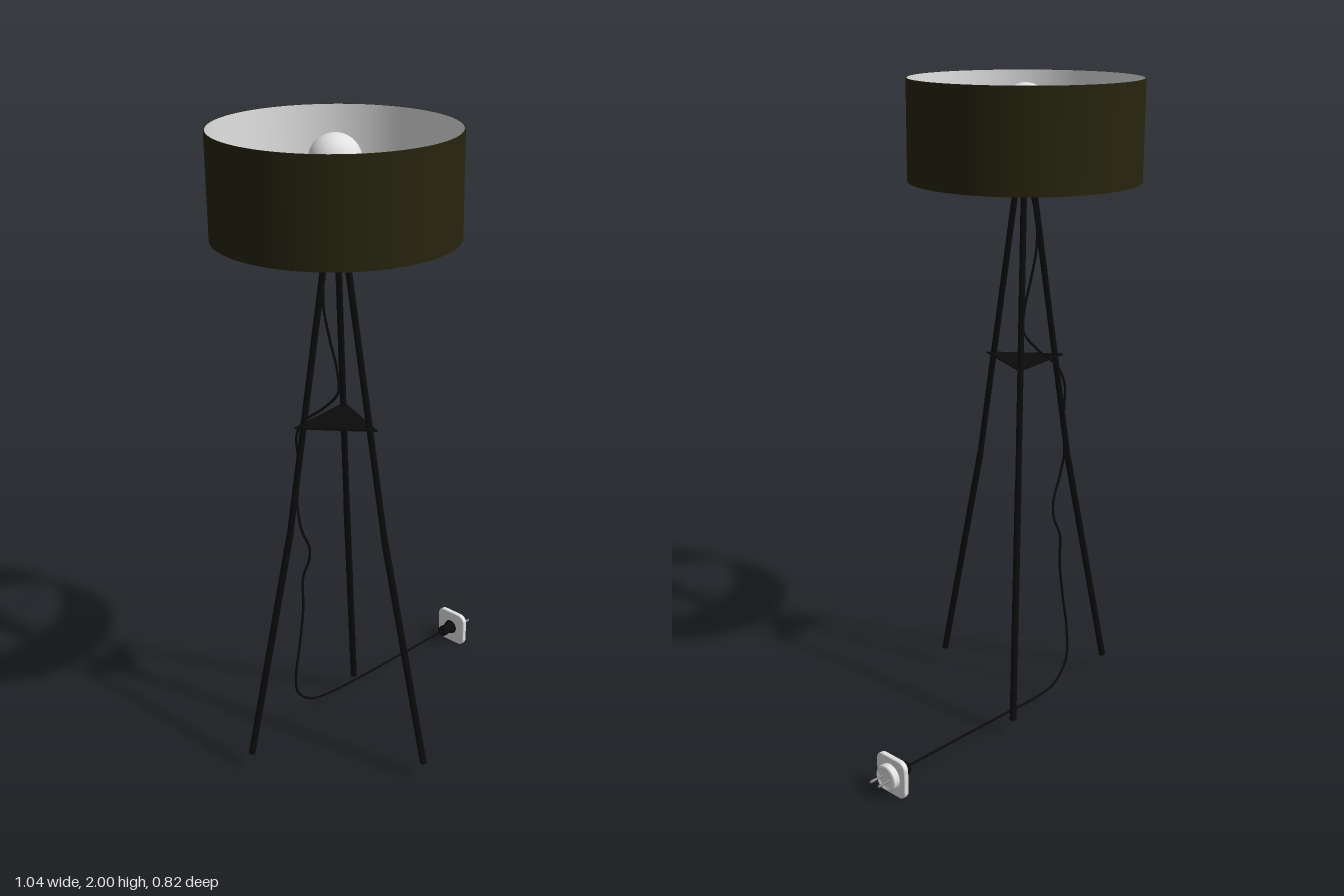
import * as THREE from 'three';

const paint = (name, color, side = THREE.FrontSide) => {
  const m = new THREE.MeshStandardMaterial({ color, side });
  m.name = name;
  return m;
};

export function createModel() {
  const black = paint('black metal', 0x0b0b0b);
  const olive = paint('dark olive fabric', 0x27240e);
  const white = paint('white', 0xe2e2e2);
  const steel = paint('steel grey', 0x85858a);

  const model = new THREE.Group();
  model.name = 'tripodLamp';
  const add = (parent, name, geometry, material) => {
    const mesh = new THREE.Mesh(geometry, material);
    mesh.name = name;
    parent.add(mesh);
    return mesh;
  };
  const V = (x, y, z) => new THREE.Vector3(x, y, z);

  // Straight round bar between two points
  const rod = (parent, name, a, b, r, material, sides = 16) => {
    const d = b.clone().sub(a);
    const mesh = add(parent, name, new THREE.CylinderGeometry(r, r, d.length(), sides), material);
    mesh.position.copy(a).add(b).multiplyScalar(0.5);
    mesh.quaternion.setFromUnitVectors(V(0, 1, 0), d.normalize());
    return mesh;
  };

  // Everything but the cord and plug shares this vertical axis
  const lamp = new THREE.Group();
  lamp.name = 'lamp';
  lamp.position.set(-0.167, 0, 0.055);
  model.add(lamp);

  // Drum shade: thin shell, olive outside and white inside
  const P = (x, y) => new THREE.Vector2(x, y);
  add(lamp, 'shadeOuter', new THREE.LatheGeometry([P(0.352, 1.7), P(0.352, 2)], 96), olive);
  add(lamp, 'shadeInner', new THREE.LatheGeometry([P(0.349, 2), P(0.349, 1.7)], 96), white);
  for (const [y, flip] of [[2, -1], [1.7, 1]]) {
    const rim = add(lamp, 'shadeRim', new THREE.RingGeometry(0.349, 0.352, 96), olive);
    rim.position.y = y;
    rim.rotation.x = flip * Math.PI / 2;
  }

  // Globe bulb and its socket
  const bulb = add(lamp, 'bulb', new THREE.SphereGeometry(0.075, 40, 28), white);
  bulb.position.y = 1.91;
  add(lamp, 'bulbNeck', new THREE.LatheGeometry(
    [P(0.024, 1.8), P(0.026, 1.82), P(0.04, 1.848), P(0.058, 1.864)], 32), white);
  add(lamp, 'socket', new THREE.LatheGeometry([
    P(0, 1.67), P(0.024, 1.67), P(0.028, 1.685), P(0.04, 1.688), P(0.04, 1.71),
    P(0.027, 1.714), P(0.027, 1.775), P(0.033, 1.778), P(0.033, 1.79),
    P(0.027, 1.793), P(0.027, 1.82), P(0, 1.82)], 32), black);

  // Three bent legs, with a shade spoke above each
  for (const angle of [Math.PI, Math.PI / 3, -Math.PI / 3]) {
    const at = (r, y) => V(r * Math.cos(angle), y, r * Math.sin(angle));
    const leg = new THREE.Group();
    leg.name = 'leg';
    lamp.add(leg);
    rod(leg, 'lowerLeg', at(0.314, 0.056), at(0.164, 0.8), 0.0105, black);
    rod(leg, 'upperLeg', at(0.164, 0.8), at(0.028, 1.695), 0.0095, black);
    add(leg, 'legJoint', new THREE.SphereGeometry(0.0105, 16, 10), black).position.copy(at(0.164, 0.8));
    rod(lamp, 'shadeSpoke', at(0.03, 1.78), at(0.35, 1.704), 0.0025, steel, 8);
  }

  // Triangular brace plate with its corners on the legs
  const triangle = new THREE.Shape([Math.PI, -Math.PI / 3, Math.PI / 3].map(
    (a) => P(0.14 * Math.cos(a), 0.14 * Math.sin(a))));
  const brace = add(lamp, 'bracePlate',
    new THREE.ExtrudeGeometry(triangle, { depth: 0.005, bevelEnabled: false }), black);
  brace.rotation.x = -Math.PI / 2;
  brace.position.y = 1.142;

  // Wavy power cord
  const path = new THREE.CatmullRomCurve3([
    [-0.175, 1.69, 0.05], [-0.2, 1.6, 0.045], [-0.205, 1.5, 0.045], [-0.19, 1.4, 0.05],
    [-0.17, 1.3, 0.055], [-0.168, 1.23, 0.053], [-0.2, 1.18, 0.025], [-0.25, 1.13, -0.015],
    [-0.265, 1.08, -0.038], [-0.256, 1.0, -0.056], [-0.256, 0.93, -0.055], [-0.27, 0.85, -0.036],
    [-0.264, 0.77, -0.022], [-0.232, 0.69, -0.04], [-0.228, 0.64, -0.055], [-0.25, 0.58, -0.055],
    [-0.257, 0.48, -0.043], [-0.275, 0.35, -0.036], [-0.288, 0.24, -0.042], [-0.27, 0.145, -0.075],
    [-0.21, 0.085, -0.108], [-0.13, 0.068, -0.138], [0, 0.065, -0.185], [0.2, 0.063, -0.262],
    [0.4, 0.061, -0.34]].map((p) => V(...p)));
  add(model, 'cord', new THREE.TubeGeometry(path, 260, 0.004, 8), black);

  // Plug, built along its own z and turned to follow the cord
  const plug = new THREE.Group();
  plug.name = 'plug';
  plug.position.set(0.394, 0.06, -0.338);
  plug.rotation.y = Math.PI / 2 + 0.38;
  model.add(plug);
  const turned = (name, points, material) => {
    const mesh = add(plug, name, new THREE.LatheGeometry(points, 28), material);
    mesh.rotation.x = Math.PI / 2;
    return mesh;
  };
  turned('strainRelief', [P(0, 0), P(0.018, 0), P(0.019, 0.012), P(0.017, 0.025),
    P(0.024, 0.045), P(0.026, 0.052), P(0, 0.052)], black);

  // Rounded square flange
  const h = 0.054, c = 0.02;
  const square = new THREE.Shape();
  square.moveTo(-h + c, -h);
  for (let i = 0; i < 4; i++) {
    const a = i * Math.PI / 2;
    square.absarc((h - c) * Math.SQRT2 * Math.cos(a - Math.PI / 4),
      (h - c) * Math.SQRT2 * Math.sin(a - Math.PI / 4), c, a - Math.PI / 2, a, false);
  }
  square.closePath();
  const flange = add(plug, 'plugFlange', new THREE.ExtrudeGeometry(square, {
    depth: 0.01, bevelThickness: 0.004, bevelSize: 0.006, bevelSegments: 3, curveSegments: 8 }), white);
  flange.position.z = 0.053;
  turned('plugFace', [P(0.04, 0.06), P(0.04, 0.084), P(0.037, 0.088), P(0.031, 0.088),
    P(0.029, 0.083), P(0, 0.083)], white);

  // Two pins side by side
  for (const x of [-0.017, 0.017]) {
    rod(plug, 'plugPin', V(x, 0, 0.08), V(x, 0, 0.13), 0.004, steel, 12);
  }
  return model;
}
